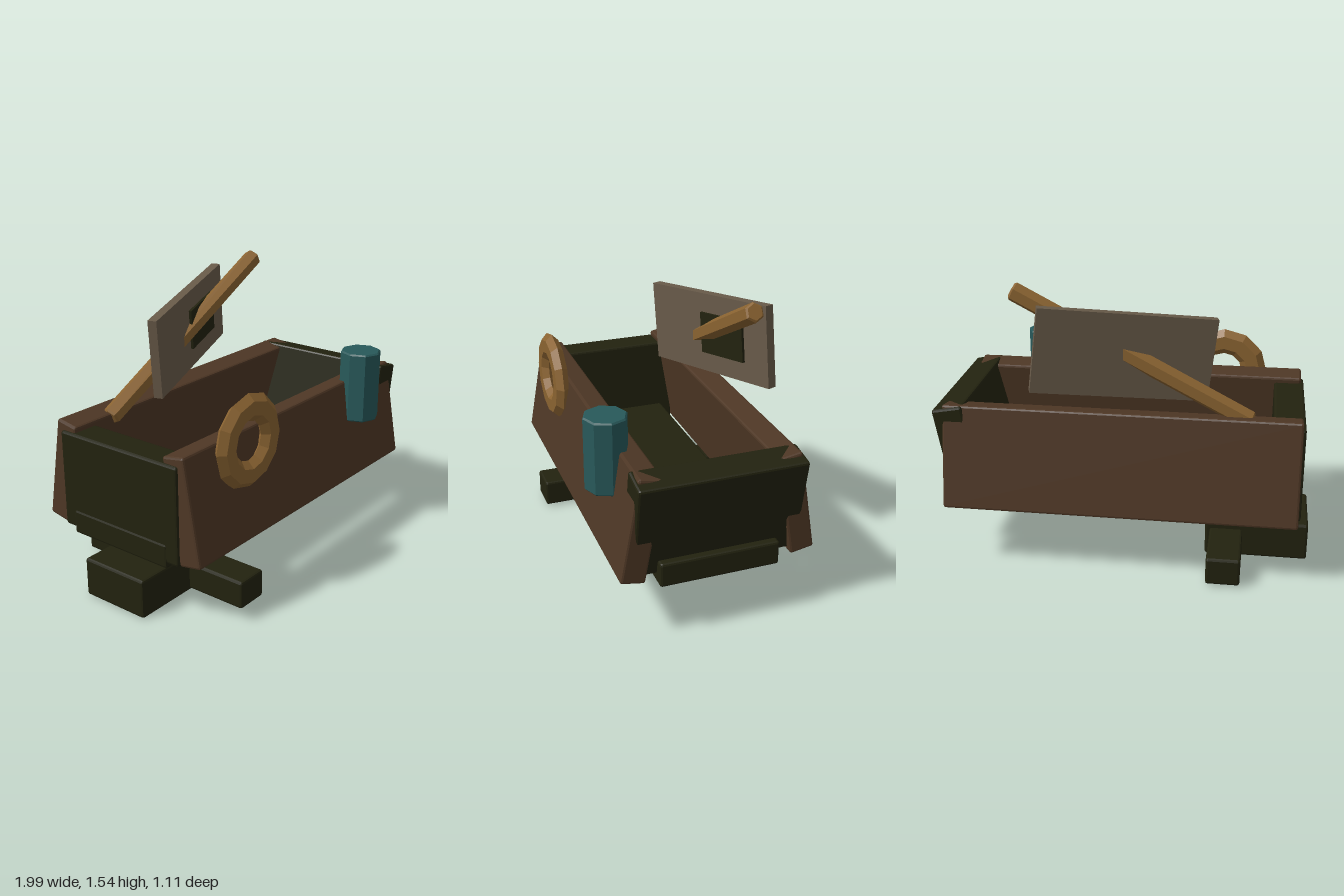
import * as THREE from 'three';
import { RoundedBoxGeometry } from 'three/addons/geometries/RoundedBoxGeometry.js';

const paint = (name, color) => {
  const m = new THREE.MeshStandardMaterial({ color });
  m.name = name;
  return m;
};

// Faceted normals for the low-poly look
function facet(geometry) {
  const g = geometry.index ? geometry.toNonIndexed() : geometry;
  g.computeVertexNormals();
  return g;
}

// Box with a thin chamfer on every edge
const chamferBox = (w, h, d, bevel = 0.012) => facet(new RoundedBoxGeometry(w, h, d, 1, bevel));

// Upright prism with chamfered rims
function prism(radius, height, sides, bevel, start = 0) {
  const h = height / 2;
  const profile = [
    [0, -h], [radius - bevel, -h], [radius, bevel - h],
    [radius, h - bevel], [radius - bevel, h], [0, h],
  ].map(([x, y]) => new THREE.Vector2(x, y));
  return facet(new THREE.LatheGeometry(profile, sides, start));
}

export function createModel() {
  const model = new THREE.Group();
  model.name = 'brokenCart';

  const darkWood = paint('dark olive wood', 0x22220f);
  const brownWood = paint('brown wood', 0x4e3725);
  const tanWood = paint('tan wood', 0x8a6331);
  const boardWood = paint('grey brown board', 0x685a49);
  const teal = paint('teal', 0x28595a);

  function add(name, geometry, material, x, y, z, parent = model) {
    const mesh = new THREE.Mesh(geometry, material);
    mesh.name = name;
    mesh.position.set(x, y, z);
    parent.add(mesh);
    return mesh;
  }

  // Trough: floor and two side planks leaning inward
  add('floor', chamferBox(1.91, 0.13, 0.63), darkWood, 0.005, 0.365, -0.015);
  for (const side of [1, -1]) {
    const plank = add(side > 0 ? 'frontPlank' : 'backPlank',
      chamferBox(1.87, 0.56, 0.13), brownWood, 0.005, 0.615, -0.0175 + side * 0.402);
    plank.rotation.x = -side * 0.175;
  }

  // Ends: one upright, one leaning outward
  add('rightEnd', chamferBox(0.165, 0.52, 0.77), darkWood, -0.863, 0.59, -0.015);
  const leaningEnd = add('leaningEnd', chamferBox(0.165, 0.53, 0.87), darkWood, 0.868, 0.624, -0.015);
  leaningEnd.rotation.z = -0.175;

  // Loose timbers underneath
  add('footBlock', chamferBox(0.56, 0.21, 0.395), darkWood, -0.72, 0.105, -0.015);
  add('crossBeam', chamferBox(0.18, 0.15, 1.075), darkWood, -0.555, 0.085, -0.015);

  // Rope ring, flattened front to back
  const ringGeometry = new THREE.TorusGeometry(0.177, 0.0725, 6, 12).scale(1, 1, 0.58);
  add('ropeRing', facet(ringGeometry), tanWood, -0.485, 0.855, 0.44);

  // Canister
  add('canister', prism(0.114, 0.395, 8, 0.008), teal, 0.555, 0.872, 0.44);

  // Tilted board with a dark panel on its face
  const sign = new THREE.Group();
  sign.name = 'tiltedBoard';
  sign.position.set(-0.01, 1.19, -0.343);
  sign.rotation.set(0, 0.32, 0.12, 'YXZ');
  model.add(sign);
  add('board', facet(new THREE.BoxGeometry(0.93, 0.44, 0.05)), boardWood, 0, 0, 0, sign);
  add('panel', facet(new THREE.BoxGeometry(0.33, 0.225, 0.02)), darkWood, 0.125, 0.003, 0.03, sign);

  // Six-sided pole piercing the board
  const pole = add('pole', prism(0.052, 1.39, 6, 0.01, Math.PI / 6), tanWood, -0.05, 1.178, -0.325);
  pole.rotation.z = -(Math.PI / 2 - 0.482);

  return model;
}
